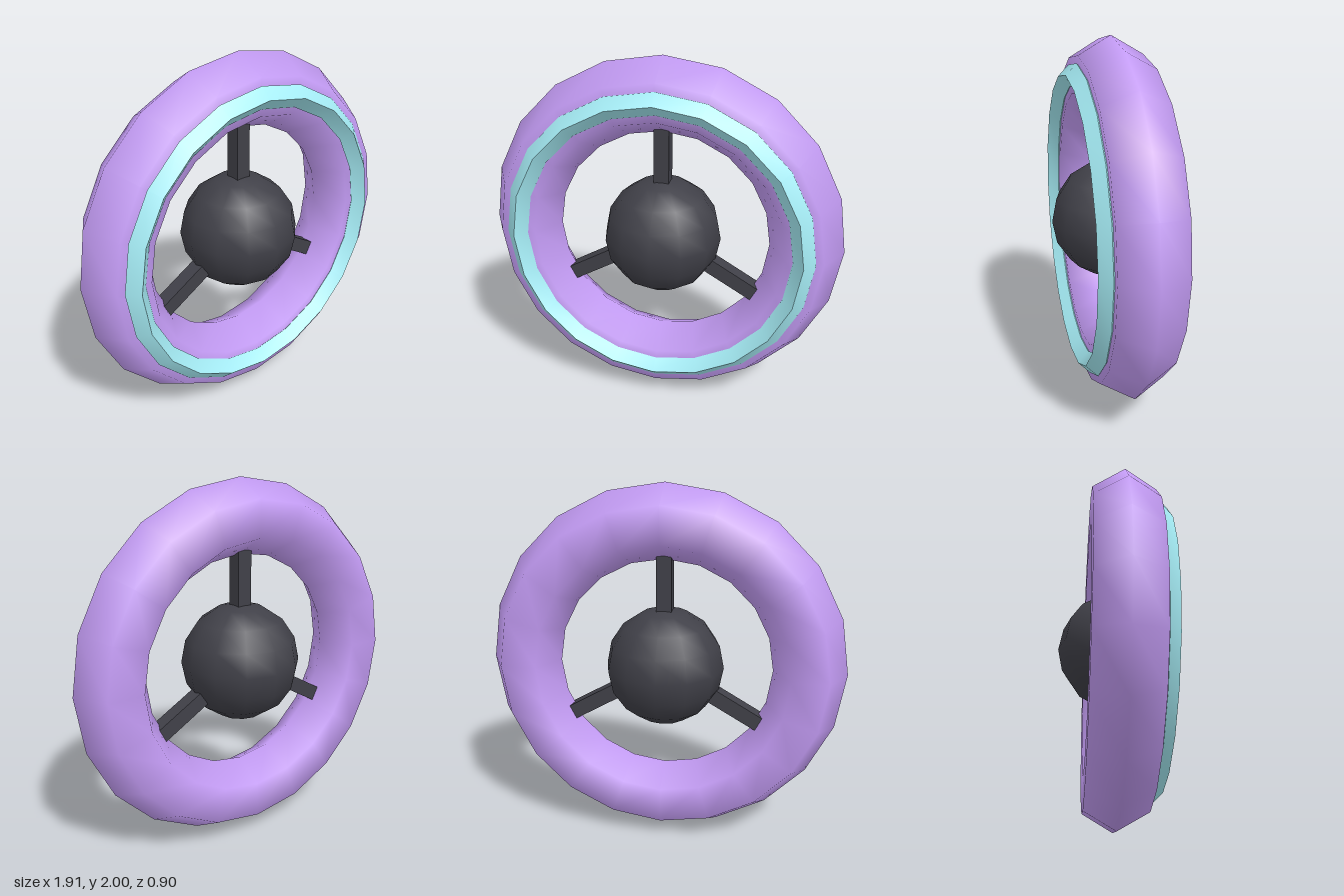
import * as THREE from 'three';
import { toCreasedNormals } from 'three/addons/utils/BufferGeometryUtils.js';

const paint = (color) => new THREE.MeshStandardMaterial({ color });

export function createModel() {
  const model = new THREE.Group();
  model.name = 'wheel';

  const purple = paint(0xc49cf5);
  const cyan = paint(0xa5ecf5);
  const dark = paint(0x404048);

  // Everything sits in one group, turned slightly about the vertical
  const wheel = new THREE.Group();
  wheel.name = 'turnedWheel';
  wheel.position.set(0, 1, -0.017);
  wheel.rotation.y = 0.3;
  model.add(wheel);

  const add = (name, geometry, material) => {
    const mesh = new THREE.Mesh(geometry, material);
    mesh.name = name;
    wheel.add(mesh);
    return mesh;
  };

  // Thick tyre with a six-sided, smoothly shaded section
  add('tyre', new THREE.TorusGeometry(0.8, 0.2, 6, 20), purple);

  // Thin trim ring with a sharp diamond section on the front
  const trim = toCreasedNormals(new THREE.TorusGeometry(0.8, 0.06, 4, 20), 0.7);
  add('trimRing', trim, cyan).position.z = 0.18;

  // Round hub
  add('hub', new THREE.SphereGeometry(0.33, 12, 8), dark);

  // Three square spokes from inside the hub to the tyre
  const inner = 0.2, outer = 0.63, thickness = 0.084;
  for (let i = 0; i < 3; i++) {
    const geometry = new THREE.BoxGeometry(thickness, outer - inner, thickness);
    geometry.translate(0, (inner + outer) / 2, 0);
    add(`spoke${i + 1}`, geometry, dark).rotation.z = (i * Math.PI * 2) / 3;
  }

  return model;
}
